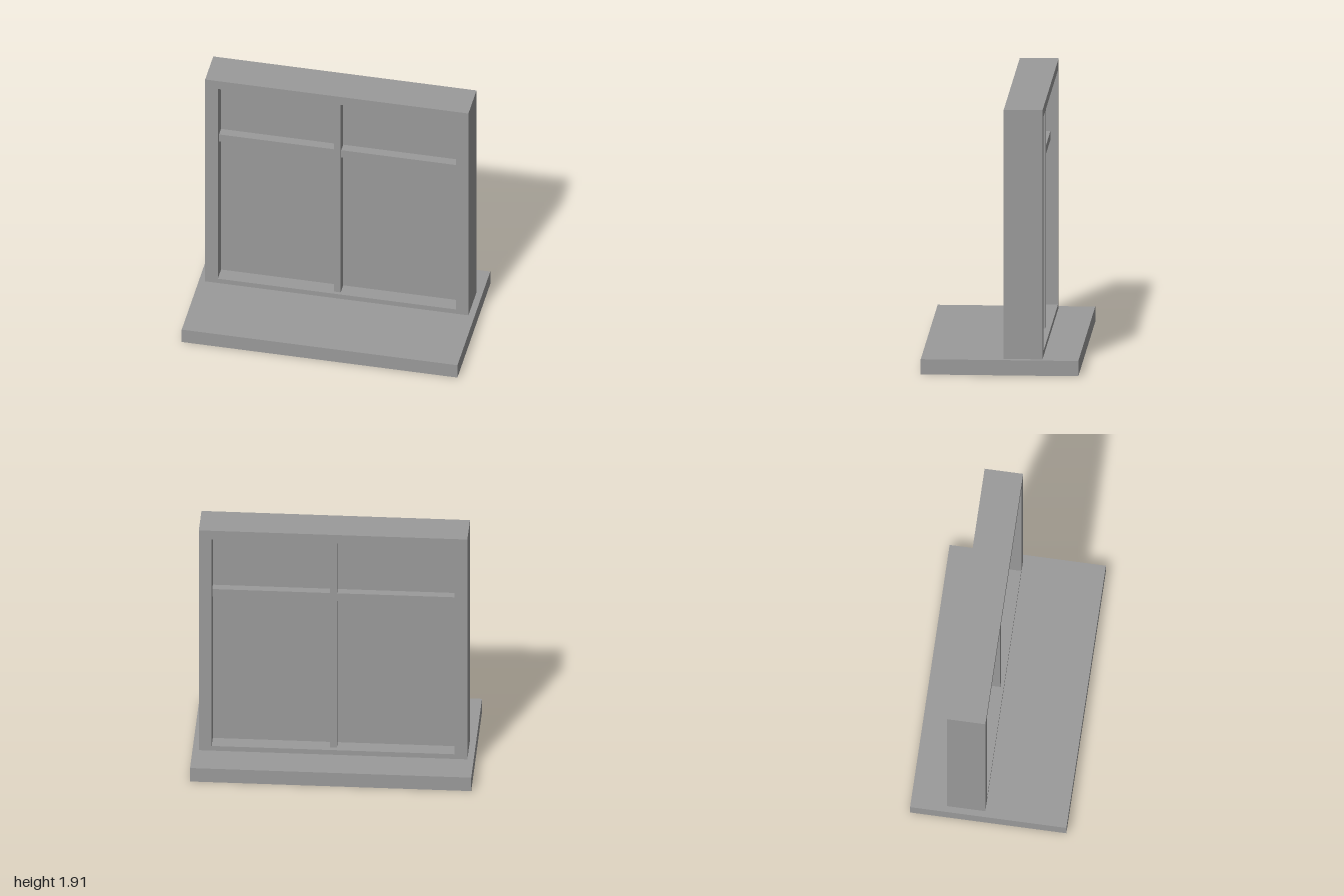
import * as THREE from 'three';

export function createModel() {
  const group = new THREE.Group();
  const material = new THREE.MeshStandardMaterial({ color: 0x9a9a9a, flatShading: true });

  // Box given by its lower and upper limits on each axis
  function box(name, [x0, x1], [y0, y1], [z0, z1]) {
    const mesh = new THREE.Mesh(new THREE.BoxGeometry(x1 - x0, y1 - y0, z1 - z0), material);
    mesh.position.set((x0 + x1) / 2, (y0 + y1) / 2, (z0 + z1) / 2);
    mesh.name = name;
    group.add(mesh);
  }

  const opening = { x: 0.863, bottom: 0.148, top: 1.842 };

  // Wide sill under the window
  box('sill', [-1, 1], [0, 0.11], [-0.56, 0.56]);

  // Outer frame with a rectangular opening
  const outline = new THREE.Shape();
  outline.moveTo(-0.955, 0.11).lineTo(0.955, 0.11).lineTo(0.955, 1.912).lineTo(-0.955, 1.912).closePath();
  const hole = new THREE.Path();
  hole.moveTo(-opening.x, opening.bottom).lineTo(-opening.x, opening.top)
    .lineTo(opening.x, opening.top).lineTo(opening.x, opening.bottom).closePath();
  outline.holes.push(hole);
  const frameGeometry = new THREE.ExtrudeGeometry(outline, { depth: 0.276, bevelEnabled: false });
  const frame = new THREE.Mesh(frameGeometry, material);
  frame.position.z = -0.303;
  frame.name = 'frame';
  group.add(frame);

  // Pane, set back from both faces of the frame
  box('pane', [-opening.x, opening.x], [opening.bottom, opening.top], [-0.188, -0.137]);

  // Upright bar, and a shallower crossbar on each side of it
  box('mullion', [-0.025, 0.023], [opening.bottom, opening.top], [-0.267, -0.052]);
  box('rightCrossbar', [-opening.x, -0.025], [1.341, 1.404], [-0.25, -0.07]);
  box('leftCrossbar', [0.023, opening.x], [1.341, 1.404], [-0.25, -0.07]);

  return group;
}
